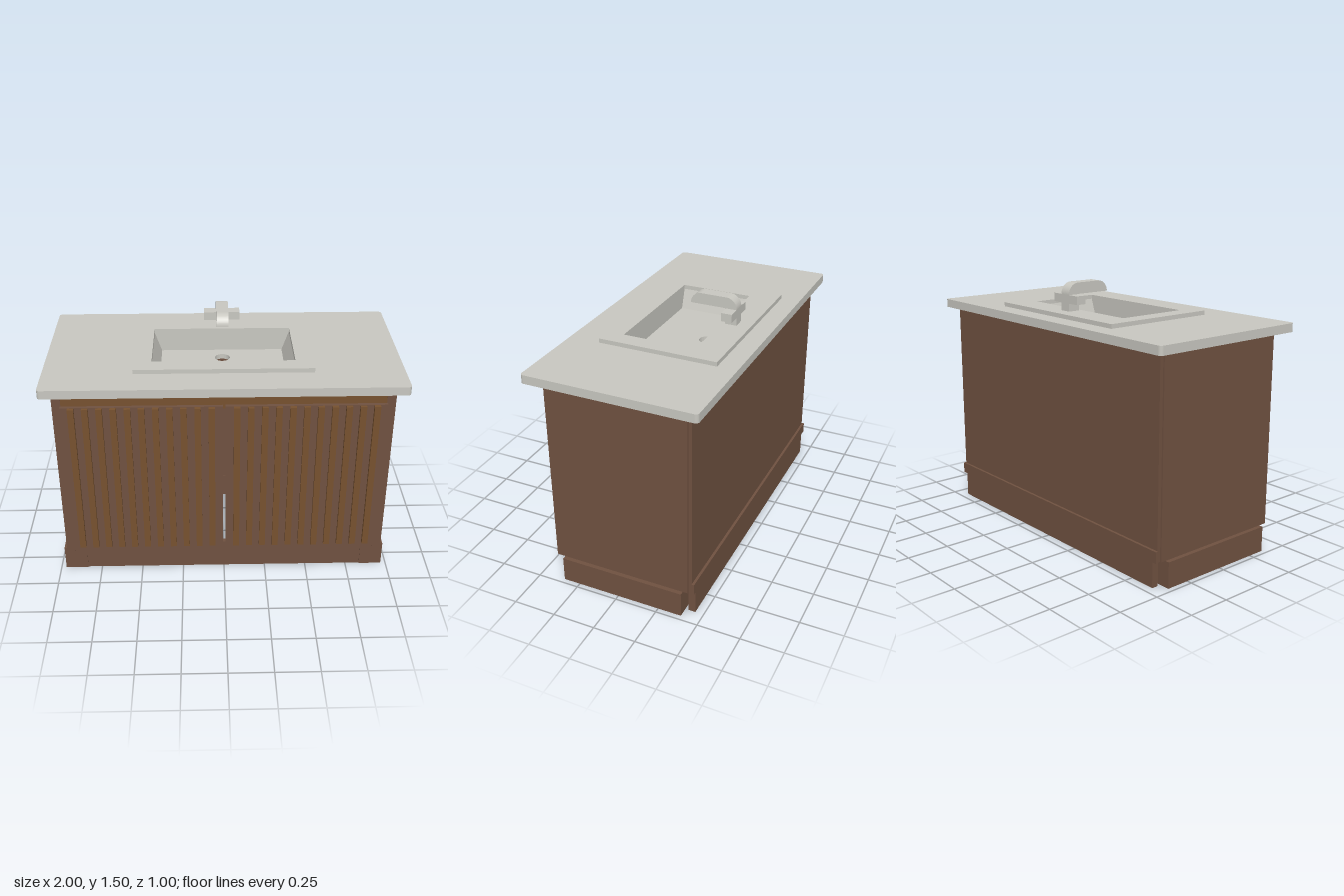
import * as THREE from 'three';

export function createModel() {
  const model = new THREE.Group();
  model.name = 'vanityCabinet';

  const mat = (name, color) => {
    const m = new THREE.MeshStandardMaterial({ color });
    m.name = name;
    return m;
  };
  const wood = mat('brown wood', 0x6f5140);
  const slatWood = mat('golden brown wood', 0x76512f);
  const stone = mat('pale grey stone', 0xc8c7c0);

  const add = (name, geometry, material) => {
    const mesh = new THREE.Mesh(geometry, material);
    mesh.name = name;
    model.add(mesh);
    return mesh;
  };
  // Box given by its limits on each axis
  const box = (name, material, x0, x1, y0, y1, z0, z1) => {
    const mesh = add(name, new THREE.BoxGeometry(x1 - x0, y1 - y0, z1 - z0), material);
    mesh.position.set((x0 + x1) / 2, (y0 + y1) / 2, (z0 + z1) / 2);
    return mesh;
  };
  // Same box on both sides of x = 0
  const pair = (name, material, x0, x1, ...rest) => {
    box(name + 'Left', material, x0, x1, ...rest);
    box(name + 'Right', material, -x1, -x0, ...rest);
  };
  // Horizontal slab from a plan shape, whose y axis is -z
  const slab = (name, shape, y0, y1) => {
    const g = new THREE.ExtrudeGeometry(shape, { depth: y1 - y0, bevelEnabled: false, curveSegments: 12 });
    g.rotateX(-Math.PI / 2);
    g.translate(0, y0, 0);
    return add(name, g, stone);
  };
  const rect = (Kind, x, z0, z1) => {
    const s = new Kind();
    s.moveTo(-x, -z1);
    s.lineTo(x, -z1);
    s.lineTo(x, -z0);
    s.lineTo(-x, -z0);
    s.closePath();
    return s;
  };

  // Cabinet carcass
  pair('sidePanel', wood, 0.92, 0.945, 0.15, 1.265, -0.42, 0.4);
  pair('frontStile', wood, 0.895, 0.92, 0.15, 1.265, 0.36, 0.4);
  box('backPanel', wood, -0.935, 0.935, 0.15, 1.265, -0.44, -0.42);
  box('backRail', wood, -0.94, 0.94, 0.15, 0.215, -0.455, -0.44);
  box('topRail', slatWood, -0.895, 0.895, 1.14, 1.245, 0.38, 0.399);
  box('bottomRail', wood, -0.895, 0.895, 0.15, 0.22, 0.37, 0.398);
  box('innerDrawer', wood, -0.895, -0.2, 0.28, 0.5, -0.1, 0.38);

  // Plinth
  pair('plinthBlock', wood, 0.835, 0.97, 0, 0.15, -0.39, 0.35);
  box('plinthFront', wood, -0.835, 0.835, 0, 0.15, 0.32, 0.345);
  box('plinthBack', wood, -0.91, 0.91, 0, 0.15, -0.45, -0.41);

  // Slatted doors
  pair('doorPanel', wood, 0.007, 0.9, 0.22, 1.165, 0.4, 0.42);
  for (let i = 0; i < 11; i++) {
    const x = 0.07 + i * 0.077;
    pair('doorSlat' + (i + 1), slatWood, x - 0.0175, x + 0.0175, 0.222, 1.163, 0.42, 0.44);
  }

  // Countertop with rounded corners and a cut-out for the sink
  const r = 0.02, top = new THREE.Shape();
  top.moveTo(-1 + r, -0.5);
  top.absarc(1 - r, -0.5 + r, r, -Math.PI / 2, 0);
  top.absarc(1 - r, 0.5 - r, r, 0, Math.PI / 2);
  top.absarc(-1 + r, 0.5 - r, r, Math.PI / 2, Math.PI);
  top.absarc(-1 + r, -0.5 + r, r, Math.PI, Math.PI * 1.5);
  top.holes.push(rect(THREE.Path, 0.41, -0.225, 0.225));
  slab('countertop', top, 1.265, 1.315);

  // Sink rim
  const rim = rect(THREE.Shape, 0.5, -0.385, 0.315);
  rim.holes.push(rect(THREE.Path, 0.4, -0.215, 0.215));
  slab('sinkRim', rim, 1.315, 1.34);

  // Basin: sloped ends, straight front and back, floor with a drain hole
  const end = new THREE.Shape([
    [0.36, 1.17], [0.49, 1.17], [0.49, 1.3], [0.41, 1.3], [0.41, 1.315], [0.4, 1.315], [0.36, 1.2],
  ].map(([x, y]) => new THREE.Vector2(x, y)));
  for (const side of [1, -1]) {
    const g = new THREE.ExtrudeGeometry(end, { depth: 0.45, bevelEnabled: false });
    g.translate(0, 0, -0.225);
    if (side < 0) g.rotateY(Math.PI);
    add(side > 0 ? 'basinEndLeft' : 'basinEndRight', g, stone);
  }
  box('basinFront', stone, -0.41, 0.41, 1.17, 1.315, 0.215, 0.225);
  box('basinBack', stone, -0.41, 0.41, 1.17, 1.315, -0.225, -0.215);
  const floor = rect(THREE.Shape, 0.365, -0.216, 0.216);
  floor.holes.push(new THREE.Path().absarc(0, 0.11, 0.045, 0, Math.PI * 2, true));
  slab('basinFloor', floor, 1.17, 1.2);

  // Faucet: post, cross handle and rounded spout
  box('faucetPost', stone, -0.035, 0.035, 1.34, 1.435, -0.305, -0.235);
  box('faucetHandle', stone, -0.105, 0.105, 1.385, 1.434, -0.304, -0.24);
  const spout = new THREE.Shape();
  spout.moveTo(0.025, 1.435);
  spout.lineTo(0.305, 1.435);
  spout.absarc(0.24, 1.435, 0.065, 0, Math.PI / 2);
  spout.absarc(0.09, 1.435, 0.065, Math.PI / 2, Math.PI);
  const spoutGeo = new THREE.ExtrudeGeometry(spout, { depth: 0.07, bevelEnabled: false, curveSegments: 10 });
  spoutGeo.translate(0, 0, -0.035);
  spoutGeo.rotateY(Math.PI / 2);
  add('faucetSpout', spoutGeo, stone);

  return model;
}
